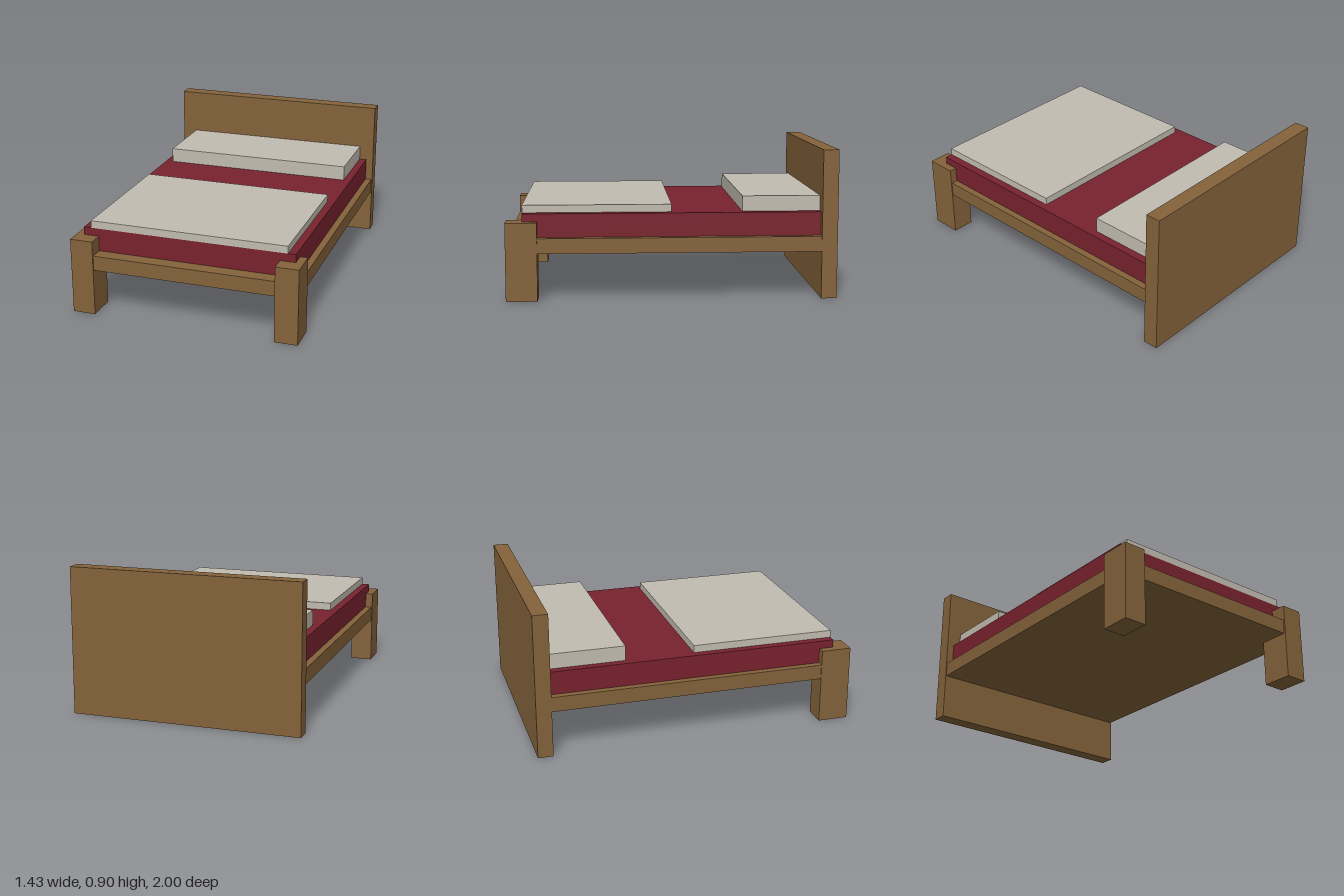
import * as THREE from 'three';

export function createModel() {
  const bed = new THREE.Group();
  bed.name = 'bed';

  const material = (name, color) => {
    const m = new THREE.MeshStandardMaterial({ color });
    m.name = name;
    return m;
  };
  const wood = material('wood', 0x84633b);
  const red = material('red fabric', 0x78222d);
  const linen = material('pale linen', 0xc1bcb0);

  // Box given by its extents along each axis
  const block = (name, mat, [x0, x1], [y0, y1], [z0, z1]) => {
    const mesh = new THREE.Mesh(new THREE.BoxGeometry(x1 - x0, y1 - y0, z1 - z0), mat);
    mesh.position.set((x0 + x1) / 2, (y0 + y1) / 2, (z0 + z1) / 2);
    mesh.name = name;
    bed.add(mesh);
  };

  // Wooden frame
  block('headboard', wood, [-0.714, 0.714], [0, 0.905], [-1, -0.905]);
  block('bedBase', wood, [-0.709, 0.709], [0.288, 0.381], [-0.905, 0.99]);
  block('leftFrontLeg', wood, [0.571, 0.714], [0, 0.476], [0.81, 1]);
  block('rightFrontLeg', wood, [-0.714, -0.571], [0, 0.476], [0.81, 1]);

  // Bedding
  block('mattress', red, [-0.667, 0.667], [0.381, 0.525], [-0.905, 0.902]);
  block('pillow', linen, [-0.619, 0.619], [0.525, 0.619], [-0.905, -0.43]);
  block('blanket', linen, [-0.619, 0.619], [0.525, 0.571], [0, 0.902]);

  return bed;
}
